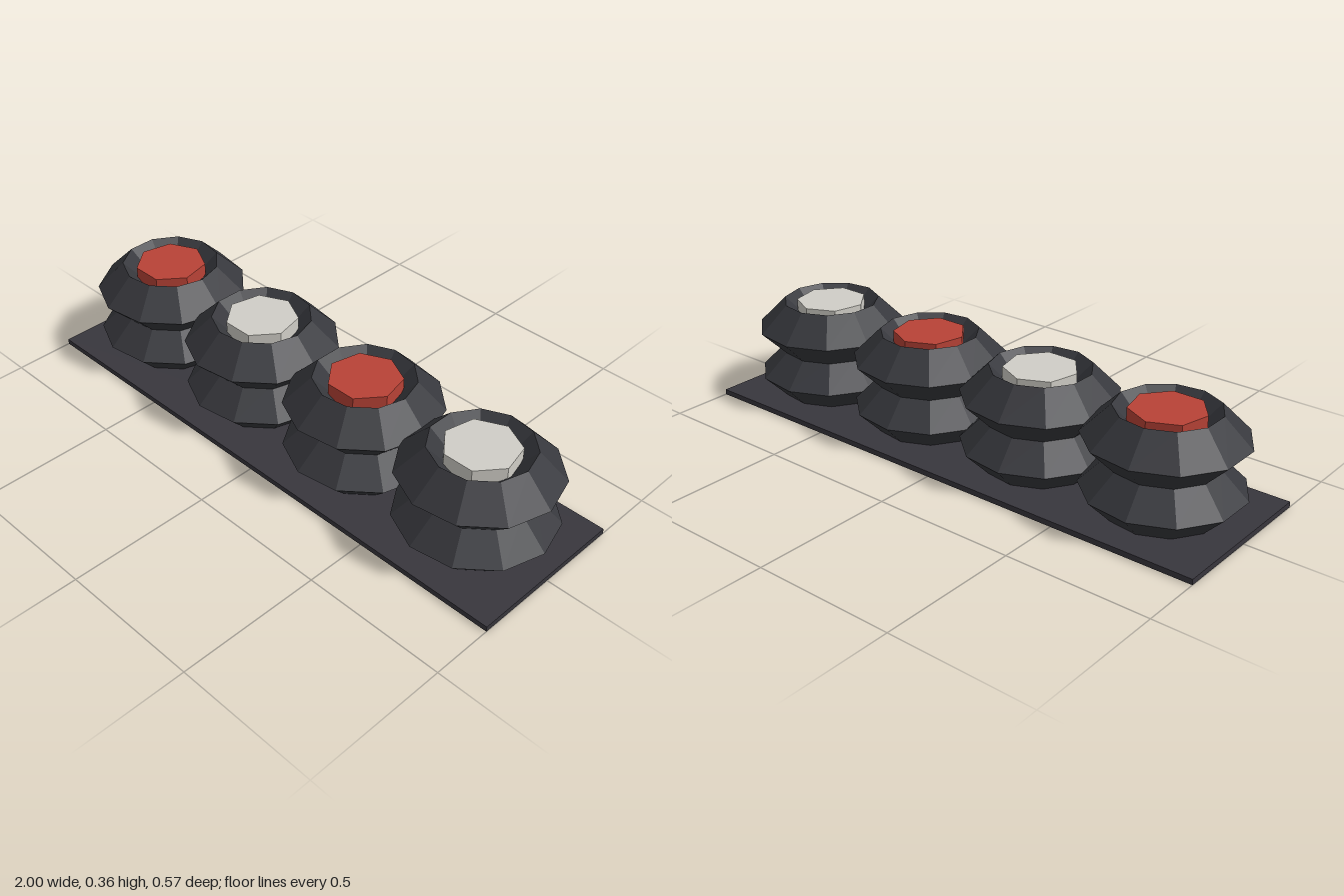
import * as THREE from 'three';

const material = (name, color) => {
  const m = new THREE.MeshStandardMaterial({ color, flatShading: true });
  m.name = name;
  return m;
};

export function createModel() {
  const model = new THREE.Group();
  model.name = 'tyreStackBarrier';

  const rubber = material('dark rubber', 0x37383d);
  const baseGrey = material('base charcoal', 0x38363d);
  const red = material('red', 0xb84236);
  const white = material('off white', 0xd0cec7);

  const add = (parent, name, geometry, mat, y) => {
    const mesh = new THREE.Mesh(geometry, mat);
    mesh.name = name;
    mesh.position.y = y;
    parent.add(mesh);
  };

  // Thin base plate
  add(model, 'basePlate', new THREE.BoxGeometry(2, 0.019, 0.573), baseGrey, 0.0095);

  // Low-poly tyre with a diamond section, and a seven-sided cap with a corner at the back
  const tyre = new THREE.TorusGeometry(0.17, 0.095, 4, 11).rotateX(Math.PI / 2);
  const cap = new THREE.CylinderGeometry(0.124, 0.124, 0.08, 7).rotateY(Math.PI);

  // Four stacks of two tyres, with alternating cap colours
  for (let i = 0; i < 4; i++) {
    const stack = new THREE.Group();
    stack.name = `tyreStack${i + 1}`;
    stack.position.x = (i - 1.5) * 0.476;
    add(stack, 'lowerTyre', tyre, rubber, 0.097);
    add(stack, 'upperTyre', tyre, rubber, 0.268);
    add(stack, 'cap', cap, i % 2 ? white : red, 0.32);
    model.add(stack);
  }
  return model;
}
